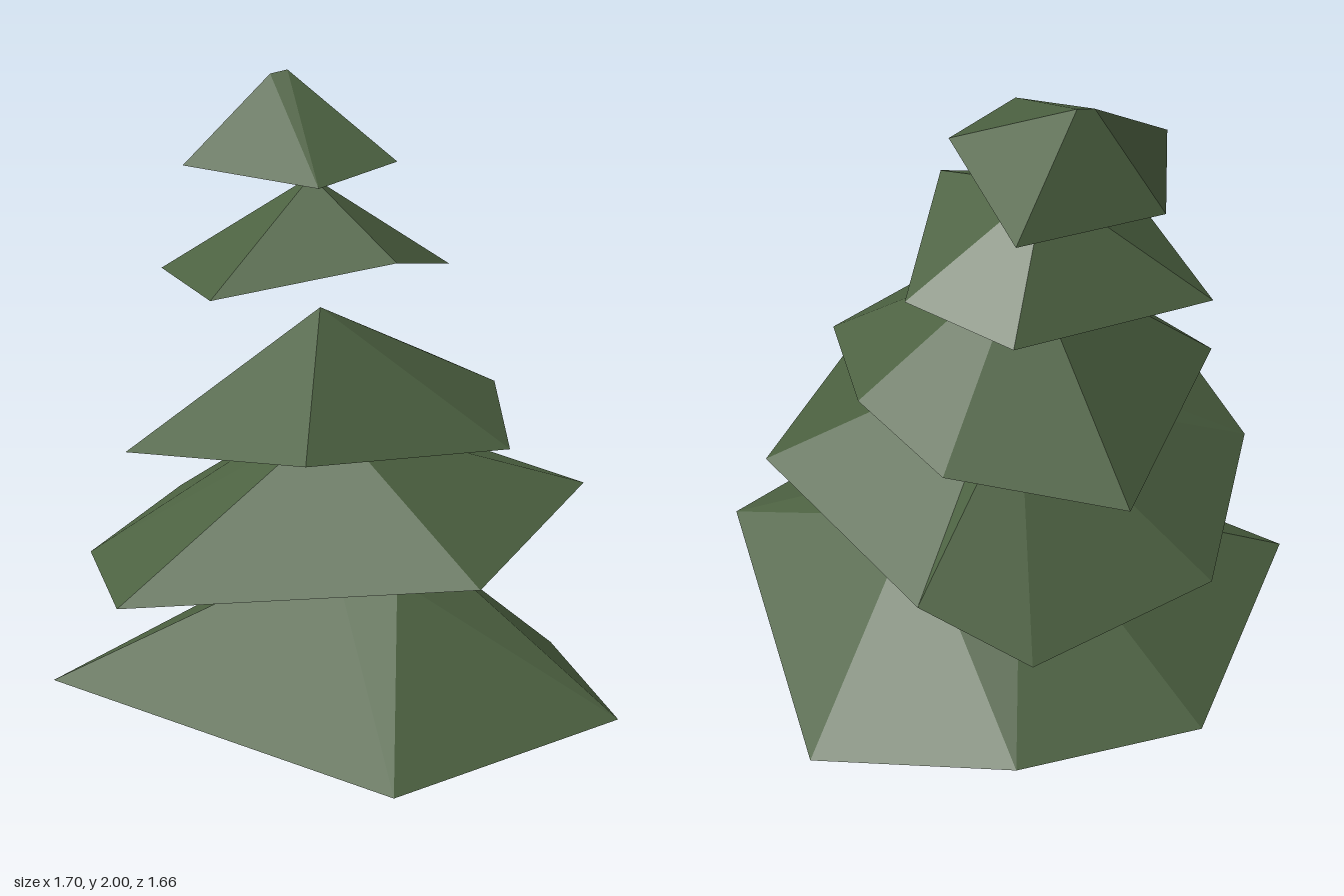
import * as THREE from 'three';

// Each tier: crown points, then rim points [x, y, z, crown index], ordered
// left, front, right, back.
const TIERS = [
  {
    name: 'bottomBranches',
    crown: [[0, 0.545, -0.08], [0.2, 0.53, 0.11], [0.33, 0.51, -0.1]],
    rim: [[-0.85, 0.14, 0.01, 0], [0.19, 0.19, 0.83, 1], [0.85, 0.2, 0.36, 2],
      [0.71, 0, -0.575, 2], [0.12, 0.08, -0.785, 0], [-0.455, 0.07, -0.69, 0]],
  },
  {
    name: 'lowerBranches',
    crown: [[0, 1.015, 0.03], [0.02, 1.015, -0.2]],
    rim: [[-0.72, 0.585, 0.04, 0], [-0.6, 0.61, 0.5, 0], [0.43, 0.7, 0.55, 0],
      [0.76, 0.77, -0.08, 0], [0.386, 0.67, -0.68, 1], [0.08, 0.535, -0.83, 1],
      [-0.49, 0.55, -0.57, 1]],
  },
  {
    name: 'middleBranches',
    crown: [[-0.03, 1.36, 0.03]],
    rim: [[-0.605, 0.915, 0.06, 0], [-0.06, 1.07, 0.55, 0], [0.52, 1, 0.23, 0],
      [0.49, 1.05, -0.2, 0], [0.29, 1.02, -0.54, 0], [-0.22, 0.94, -0.67, 0]],
  },
  {
    name: 'upperBranches',
    crown: [[-0.06, 1.705, -0.14]],
    rim: [[-0.515, 1.37, -0.3, 0], [-0.335, 1.455, 0.26, 0], [0.19, 1.55, 0.2, 0],
      [0.35, 1.41, -0.23, 0], [0.08, 1.395, -0.475, 0]],
  },
  {
    name: 'topBranches',
    crown: [[-0.18, 1.99, -0.22], [-0.13, 2, -0.23]],
    rim: [[-0.425, 1.77, -0.02, 0], [-0.03, 1.77, 0.21, 1], [0.19, 1.79, 0, 1],
      [0.07, 1.72, -0.45, 1], [-0.365, 1.695, -0.32, 0]],
  },
];

// Open faceted skirt running from the rim up to the crown points
function skirt({ crown, rim }) {
  const pos = [];
  const face = (...corners) => corners.forEach((c) => pos.push(c[0], c[1], c[2]));
  rim.forEach((a, i) => {
    const b = rim[(i + 1) % rim.length];
    const topA = crown[a[3]], topB = crown[b[3]];
    face(a, b, topA);
    if (topA !== topB) face(b, topB, topA);
  });
  if (crown.length === 3) face(...crown);
  const geo = new THREE.BufferGeometry();
  geo.setAttribute('position', new THREE.Float32BufferAttribute(pos, 3));
  geo.computeVertexNormals();
  return geo;
}

export function createModel() {
  const tree = new THREE.Group();
  tree.name = 'pineTree';
  const foliage = new THREE.MeshStandardMaterial({
    name: 'pine green', color: 0x4c6141, flatShading: true, side: THREE.DoubleSide,
  });
  for (const tier of TIERS) {
    const mesh = new THREE.Mesh(skirt(tier), foliage);
    mesh.name = tier.name;
    tree.add(mesh);
  }
  return tree;
}
